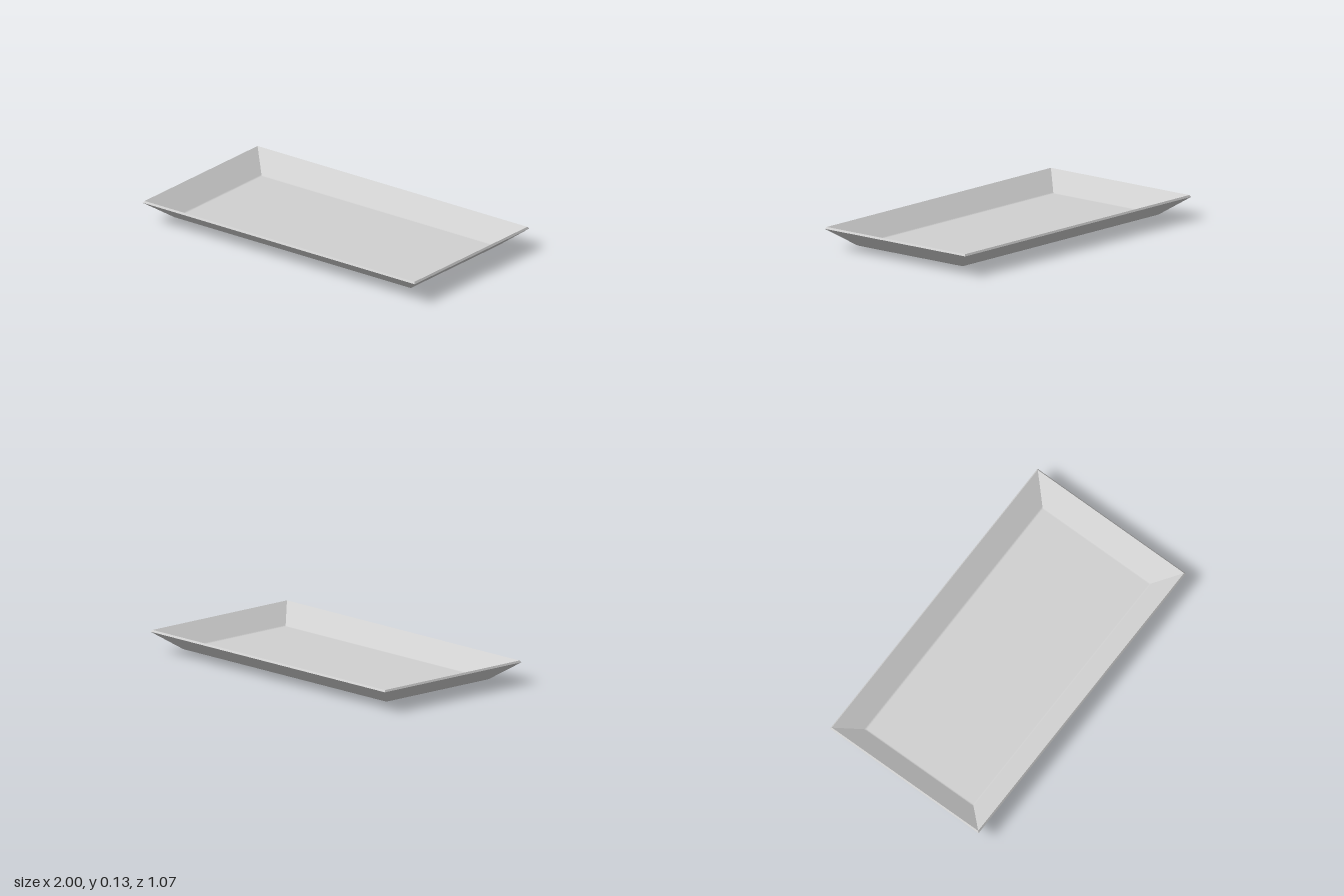
import * as THREE from 'three';

// Loft through rectangles; each profile point is [inset, y] from the half sizes hx, hz
function rectLoft(hx, hz, profile, capped) {
  const pos = [];
  const rings = profile.map(([d, y]) =>
    [[1, 1], [1, -1], [-1, -1], [-1, 1]].map(([sx, sz]) => [sx * (hx - d), y, sz * (hz - d)]));
  const quad = (a, b, c, d) => pos.push(...a, ...b, ...c, ...a, ...c, ...d);
  for (let i = 0; i < rings.length - 1; i++) {
    for (let k = 0; k < 4; k++) {
      const n = (k + 1) % 4;
      quad(rings[i][k], rings[i][n], rings[i + 1][n], rings[i + 1][k]);
    }
  }
  if (capped) {
    quad(...rings[0].slice().reverse());
    quad(...rings[rings.length - 1]);
  }
  const geometry = new THREE.BufferGeometry();
  geometry.setAttribute('position', new THREE.Float32BufferAttribute(pos, 3));
  geometry.computeVertexNormals();
  return geometry;
}

// Small rounded corner between two profile points
function fillet(a, corner, b, steps) {
  const v = (p) => new THREE.Vector2(...p);
  return new THREE.QuadraticBezierCurve(v(a), v(corner), v(b)).getPoints(steps).map((p) => [p.x, p.y]);
}

export function createModel() {
  const model = new THREE.Group();
  model.name = 'servingTray';
  const ceramic = new THREE.MeshStandardMaterial({ color: 0xd0d0d0 });
  ceramic.name = 'paleGreyCeramic';

  // Dish: underside, sloped outer wall, rim, inner wall, floor
  const dish = new THREE.Mesh(rectLoft(1, 0.537, [
    ...fillet([0.155, 0.015], [0.141, 0.015], [0.127, 0.0256], 5),
    [0, 0.122],
    [0.008, 0.133],
    ...fillet([0.142, 0.0318], [0.147, 0.028], [0.153, 0.028], 3),
  ], true), ceramic);
  dish.name = 'dish';

  // Raised rectangular foot ring underneath
  const footRing = new THREE.Mesh(rectLoft(0.73, 0.29, [
    [0.045, 0.016], [0.045, 0], [0, 0], [0, 0.016],
  ], false), ceramic);
  footRing.name = 'footRing';

  model.add(dish, footRing);
  return model;
}
